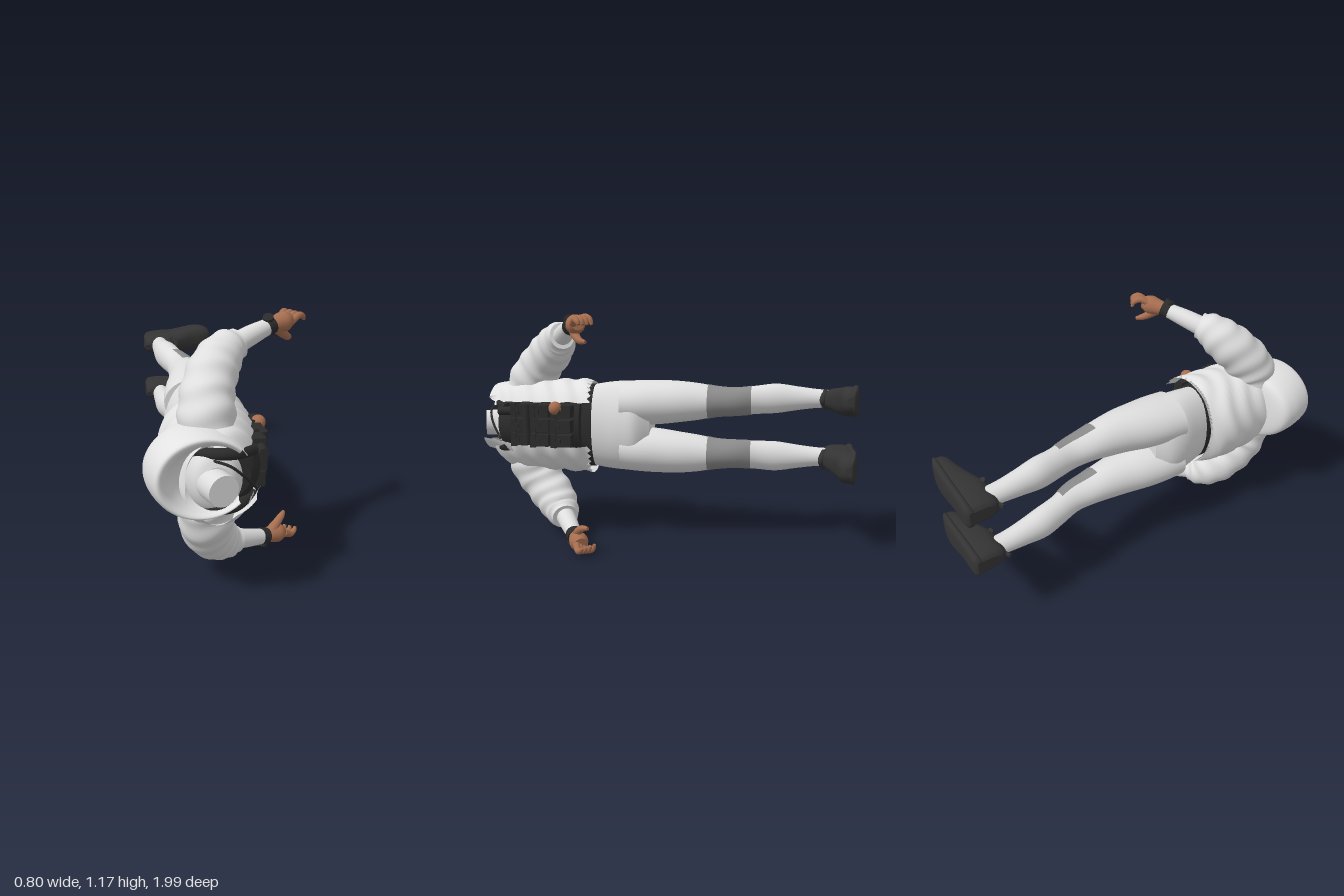
import * as THREE from 'three';

const mat = (name, color, side = THREE.FrontSide) => {
  const m = new THREE.MeshStandardMaterial({ color, side });
  m.name = name;
  return m;
};

// Catmull-Rom blend through rows of numbers, t in 0..1
function blend(rows, t) {
  const f = t * (rows.length - 1), i = Math.min(Math.floor(f), rows.length - 2), u = f - i;
  const row = k => rows[Math.max(0, Math.min(rows.length - 1, k))];
  return rows[0].map((_, c) => {
    const [a, b, d, e] = [row(i - 1)[c], row(i)[c], row(i + 1)[c], row(i + 2)[c]];
    return b + 0.5 * u * (d - a + u * (2 * a - 5 * b + 4 * d - e + u * (3 * (b - d) + e - a)));
  });
}

// Surface through rings of points; closed rings can be capped
function skin(rings, closed = true, caps = true) {
  const n = rings[0].length, pos = [], idx = [];
  rings.forEach(r => r.forEach(p => pos.push(p.x, p.y, p.z)));
  for (let i = 0; i < rings.length - 1; i++) {
    for (let j = 0; j < (closed ? n : n - 1); j++) {
      const k = (j + 1) % n, a = i * n + j, b = i * n + k;
      idx.push(a, b, b + n, a, b + n, a + n);
    }
  }
  if (closed && caps) {
    [0, rings.length - 1].forEach(i => {
      const c = new THREE.Vector3();
      rings[i].forEach(p => c.addScaledVector(p, 1 / n));
      const start = pos.length / 3;
      rings[i].forEach(p => pos.push(p.x, p.y, p.z));
      pos.push(c.x, c.y, c.z);
      for (let j = 0; j < n; j++) {
        const a = start + j, b = start + (j + 1) % n;
        i ? idx.push(a, b, start + n) : idx.push(b, a, start + n);
      }
    });
  }
  const g = new THREE.BufferGeometry();
  g.setAttribute('position', new THREE.Float32BufferAttribute(pos, 3));
  g.setIndex(idx);
  g.computeVertexNormals();
  return g;
}

// Rows [z, centreX, centreY, radiusX, radiusY] lofted along z over an arc
function loft(rows, { steps = 28, n = 36, a0 = 0, a1 = Math.PI * 2, rule } = {}) {
  const closed = a1 - a0 > 6.28, rings = [];
  for (let i = 0; i <= steps; i++) {
    const [z, cx, cy, rx, ry] = blend(rows, i / steps), ring = [];
    for (let j = 0; j < n; j++) {
      const a = a0 + (a1 - a0) * j / (closed ? n : n - 1);
      const p = new THREE.Vector3(cx + rx * Math.cos(a), cy + ry * Math.sin(a), z);
      if (rule) rule(p, i, j, a);
      ring.push(p);
    }
    rings.push(ring);
  }
  return skin(rings, closed);
}

// Tapered tube through rows [x, y, z, radius]; fold adds cloth wrinkles
function limb(rows, { steps = 24, n = 20, fold = 0 } = {}) {
  const curve = new THREE.CatmullRomCurve3(rows.map(r => new THREE.Vector3(r[0], r[1], r[2])));
  const fr = curve.computeFrenetFrames(steps), rings = [];
  for (let i = 0; i <= steps; i++) {
    const t = i / steps, c = curve.getPoint(t), r = blend(rows, t)[3];
    const T = curve.getTangent(t), B = T.clone().cross(fr.normals[i]).normalize(), N = B.clone().cross(T);
    rings.push(Array.from({ length: n }, (_, j) => {
      const a = j / n * Math.PI * 2, q = r * (1 + fold * Math.sin(t * 38 + 1.3 * Math.sin(a * 2)));
      return c.clone().addScaledVector(N, q * Math.cos(a)).addScaledVector(B, q * Math.sin(a));
    }));
  }
  return skin(rings);
}

export function createModel() {
  const model = new THREE.Group();
  const body = new THREE.Group();
  body.name = 'recliningFigure';
  body.position.y = 0.59;
  model.add(body);

  const cloth = mat('white cloth', 0xdedede), jacketCloth = mat('white jacket', 0xe2e2e2, THREE.DoubleSide);
  const patch = mat('grey knee patch', 0x8c8c8c, THREE.DoubleSide), black = mat('black gear', 0x2b2b2b);
  const shoe = mat('charcoal shoe', 0x343434), skinTone = mat('brown skin', 0xa66e50);
  const add = (name, g, m) => {
    const o = new THREE.Mesh(g, m);
    o.name = name;
    body.add(o);
    return o;
  };

  // Hips, shirt and neck
  add('hips', loft([[0.05, -0.1, 0, 0.09, 0.17], [0.12, -0.1, 0, 0.142, 0.232], [0.2, -0.105, 0, 0.148, 0.238],
    [0.3, -0.1, 0, 0.13, 0.228], [0.42, -0.09, 0, 0.115, 0.205]]), cloth);
  add('shirt', loft([[0.38, -0.09, 0, 0.12, 0.2], [0.6, -0.09, 0, 0.15, 0.17], [0.78, -0.1, 0, 0.14, 0.17],
    [0.87, -0.11, 0, 0.1, 0.13], [0.9, -0.11, 0, 0.07, 0.075]]), cloth);
  add('neck', limb([[-0.135, 0, 0.8, 0.075], [-0.12, 0, 0.89, 0.07], [-0.093, 0, 0.968, 0.067]], { n: 28 }), cloth);
  add('belt', loft([[0.35, -0.09, 0, 0.128, 0.222], [0.41, -0.09, 0, 0.128, 0.222]], { steps: 2 }), black);

  // Open jacket with a ragged hem
  const creases = (p, i, j, a) => {
    if (i === 0) p.z += 0.022 * (j % 2) + 0.02 - 0.035 * Math.cos(a);
    const w = 0.006 * Math.sin(p.z * 55 + 2 * Math.sin(a * 3));
    p.x += w * Math.cos(a);
    p.y += w * Math.sin(a);
  };
  add('jacket', loft([[0.34, -0.055, 0, 0.19, 0.243], [0.43, -0.08, 0, 0.222, 0.246], [0.55, -0.085, 0, 0.22, 0.243],
    [0.68, -0.09, 0, 0.205, 0.24], [0.8, -0.1, 0, 0.18, 0.23], [0.88, -0.1, 0, 0.14, 0.19]],
  { a0: 0.6, a1: Math.PI * 2 - 0.36, n: 64, rule: creases }), jacketCloth);

  // Collapsed hood: outer bulge, rim, then the inner bowl
  add('hood', loft([[0.7, -0.15, 0.02, 0.14, 0.19], [0.74, -0.17, 0.03, 0.215, 0.19], [0.81, -0.17, 0.035, 0.228, 0.19],
    [0.89, -0.17, 0.035, 0.212, 0.185], [0.945, -0.16, 0.035, 0.2, 0.172], [0.935, -0.15, 0.03, 0.178, 0.15],
    [0.88, -0.13, 0.02, 0.16, 0.135], [0.83, -0.11, 0.01, 0.12, 0.11]],
  { a0: 0.75, a1: Math.PI * 2 - 0.75, steps: 35, n: 48, rule: (p, i, j, a) => { p.z -= 0.035 * (1 + Math.cos(a)) * 0.5; } }), jacketCloth);
  // Front lapel standing beside the neck
  add('lapel', loft([[0.76, -0.08, 0, 0.2, 0.19], [0.85, -0.1, 0, 0.185, 0.16], [0.93, -0.11, 0, 0.175, 0.14]],
    { a0: -1.1, a1: -0.45, n: 10, steps: 8 }), jacketCloth);

  // Chest rig with straps and pouches
  add('vest', loft([[0.4, -0.06, 0.01, 0.15, 0.18], [0.55, -0.05, 0.01, 0.165, 0.175], [0.72, -0.06, 0.01, 0.165, 0.16],
    [0.82, -0.07, 0.01, 0.145, 0.14], [0.85, -0.06, 0.01, 0.1, 0.1]]), black);
  for (let r = 0; r < 3; r++) {
    for (let c = 0; c < 3; c++) {
      const w = 0.062, h = 0.1 - r * 0.01, y = -0.055 + c * 0.075, z = 0.475 + r * 0.115;
      const x = 0.115 - 0.016 * r + 0.008 * ((r + c) % 2);
      add('pouch', new THREE.BoxGeometry(0.07, w, h).translate(x, y, z), black);
      add('pouchFlap', new THREE.BoxGeometry(0.08, w + 0.008, 0.028).translate(x, y, z + h * 0.4), black);
      add('pouchBuckle', new THREE.BoxGeometry(0.092, 0.02, 0.018).translate(x, y, z + 0.01), black);
    }
  }
  add('radio', new THREE.CylinderGeometry(0.022, 0.022, 0.12, 14).rotateX(Math.PI / 2).translate(0.1, 0.09, 0.76), black);
  add('chestTube', new THREE.CylinderGeometry(0.02, 0.02, 0.2, 14).translate(0.13, 0.03, 0.66), black);
  add('cable', limb([[0.07, -0.06, 0.83, 0.006], [0, 0.03, 0.9, 0.006], [-0.06, 0.085, 0.92, 0.006], [-0.13, 0.1, 0.88, 0.006]], { n: 8 }), black);
  add('roundPouch', new THREE.SphereGeometry(0.034, 24, 16).translate(0.142, 0.113, 0.505), skinTone);

  for (const s of [1, -1]) {
    const side = s > 0 ? 'left' : 'right';
    const name = part => side + part;
    add(name('Strap'), limb([[0.06, s * 0.1, 0.79, 0.026], [-0.02, s * 0.115, 0.86, 0.026], [-0.11, s * 0.12, 0.87, 0.026],
      [-0.2, s * 0.11, 0.8, 0.026]], { n: 12 }), black);

    // Leg and knee patch
    const leg = [[-0.9, -0.175, 0.152, 0.046, 0.044], [-0.8, -0.175, 0.153, 0.05, 0.05], [-0.7, -0.168, 0.153, 0.058, 0.063],
      [-0.6, -0.157, 0.152, 0.068, 0.077], [-0.5, -0.135, 0.145, 0.067, 0.074], [-0.4, -0.103, 0.137, 0.076, 0.072],
      [-0.3, -0.092, 0.137, 0.088, 0.078], [-0.2, -0.087, 0.136, 0.099, 0.096], [-0.1, -0.087, 0.134, 0.114, 0.108],
      [0, -0.095, 0.129, 0.13, 0.116], [0.1, -0.1, 0.125, 0.143, 0.118], [0.2, -0.105, 0.12, 0.146, 0.116]]
      .map(([z, x, y, rx, ry]) => [z, x, s * y, rx, ry]);
    add(name('Leg'), loft(leg, { steps: 44 }), cloth);
    const knee = [0, 1, 2, 3, 4, 5, 6].map(i => blend(leg, (0.43 + i * 0.22 / 6) / 1.1))
      .map(([z, x, y, rx, ry]) => [z, x, y, rx + 0.003, ry + 0.003]);
    add(name('KneePatch'), loft(knee, { steps: 18, n: 24, a0: -1.75, a1: 1.75 }), patch);

    // Shoe from rows [x, centreY, halfWidth, bottom, top], heel to toe
    const rows = [[-0.262, 0.148, 0.03, -0.985, -0.86], [-0.24, 0.148, 0.052, -1, -0.835], [-0.17, 0.15, 0.06, -1, -0.835],
      [-0.1, 0.153, 0.06, -0.998, -0.83], [-0.04, 0.157, 0.066, -1, -0.855], [0.03, 0.162, 0.074, -1, -0.885],
      [0.09, 0.167, 0.068, -0.992, -0.9], [0.13, 0.168, 0.047, -0.978, -0.915], [0.143, 0.168, 0.022, -0.965, -0.932]];
    const rings = (grow, top) => Array.from({ length: 29 }, (_, i) => {
      const [x, y, w, b, t] = blend(rows, i / 28), hi = top ?? t;
      return Array.from({ length: 28 }, (_, j) => {
        const a = j / 28 * Math.PI * 2, c = Math.cos(a), q = Math.sin(a);
        const z = Math.max(-1, (b + hi) / 2 + Math.sign(q) * Math.abs(q) ** 0.6 * (hi - b) / 2);
        const taper = 1 - 0.25 * Math.max(0, q);
        return new THREE.Vector3(x * (1 + grow), s * y + Math.sign(c) * Math.abs(c) ** 0.7 * (w + grow) * taper, z);
      });
    });
    add(name('Shoe'), skin(rings(0)), shoe);
    add(name('Sole'), skin(rings(0.006, -0.955)), shoe);
    add(name('HeelTab'), new THREE.BoxGeometry(0.05, 0.016, 0.012).rotateY(0.35).translate(-0.245, s * 0.15, -0.838), shoe);
    add(name('Laces'), limb([[-0.11, s * 0.11, -0.845, 0.012], [-0.075, s * 0.155, -0.828, 0.014], [-0.11, s * 0.2, -0.845, 0.012]], { n: 8 }), shoe);

    // Puffy sleeve, forearm and watch
    const armRows = r => r.map(([x, y, z, q]) => [x, s * y, z, q]);
    add(name('Sleeve'), limb(armRows([[-0.13, 0.13, 0.74, 0.118], [-0.125, 0.23, 0.715, 0.122], [-0.11, 0.32, 0.655, 0.115],
      [-0.065, 0.405, 0.575, 0.108], [-0.005, 0.46, 0.52, 0.088], [0.045, 0.475, 0.49, 0.066]]), { steps: 48, n: 32, fold: 0.035 }), cloth);
    add(name('Forearm'), limb(armRows([[0, 0.46, 0.515, 0.05], [0.1, 0.495, 0.455, 0.046], [0.22, 0.53, 0.388, 0.036]])), cloth);
    add(name('WatchBand'), limb(armRows([[0.188, 0.52, 0.405, 0.042], [0.222, 0.531, 0.386, 0.041]]), { steps: 3 }), black);
    add(name('WatchFace'), limb(armRows([[0.2, 0.555, 0.405, 0.026], [0.197, 0.572, 0.415, 0.024]]), { steps: 2 }), black);

    // Hand with curled fingers
    add(name('Palm'), limb(armRows([[0.21, 0.528, 0.391, 0.032], [0.245, 0.53, 0.372, 0.04], [0.285, 0.535, 0.35, 0.047],
      [0.315, 0.54, 0.332, 0.034]])), skinTone);
    for (let i = 0; i < 4; i++) {
      add(name('Finger'), limb(armRows([[0.27 + 0.018 * i, 0.55 - 0.004 * i, 0.335 + 0.006 * i, 0.018],
        [0.298 + 0.021 * i, 0.57 - 0.004 * i, 0.3 + 0.011 * i, 0.016],
        [0.316 + 0.023 * i, 0.558 - 0.004 * i, 0.272 + 0.014 * i, 0.013],
        [0.322 + 0.023 * i, 0.533, 0.262 + 0.015 * i, 0.008]]), { n: 12, steps: 14 }), skinTone);
    }
    add(name('Thumb'), limb(armRows([[0.25, 0.515, 0.37, 0.028], [0.285, 0.478, 0.35, 0.021], [0.315, 0.456, 0.32, 0.016],
      [0.33, 0.452, 0.292, 0.009]]), { n: 12, steps: 14 }), skinTone);
  }
  return model;
}
